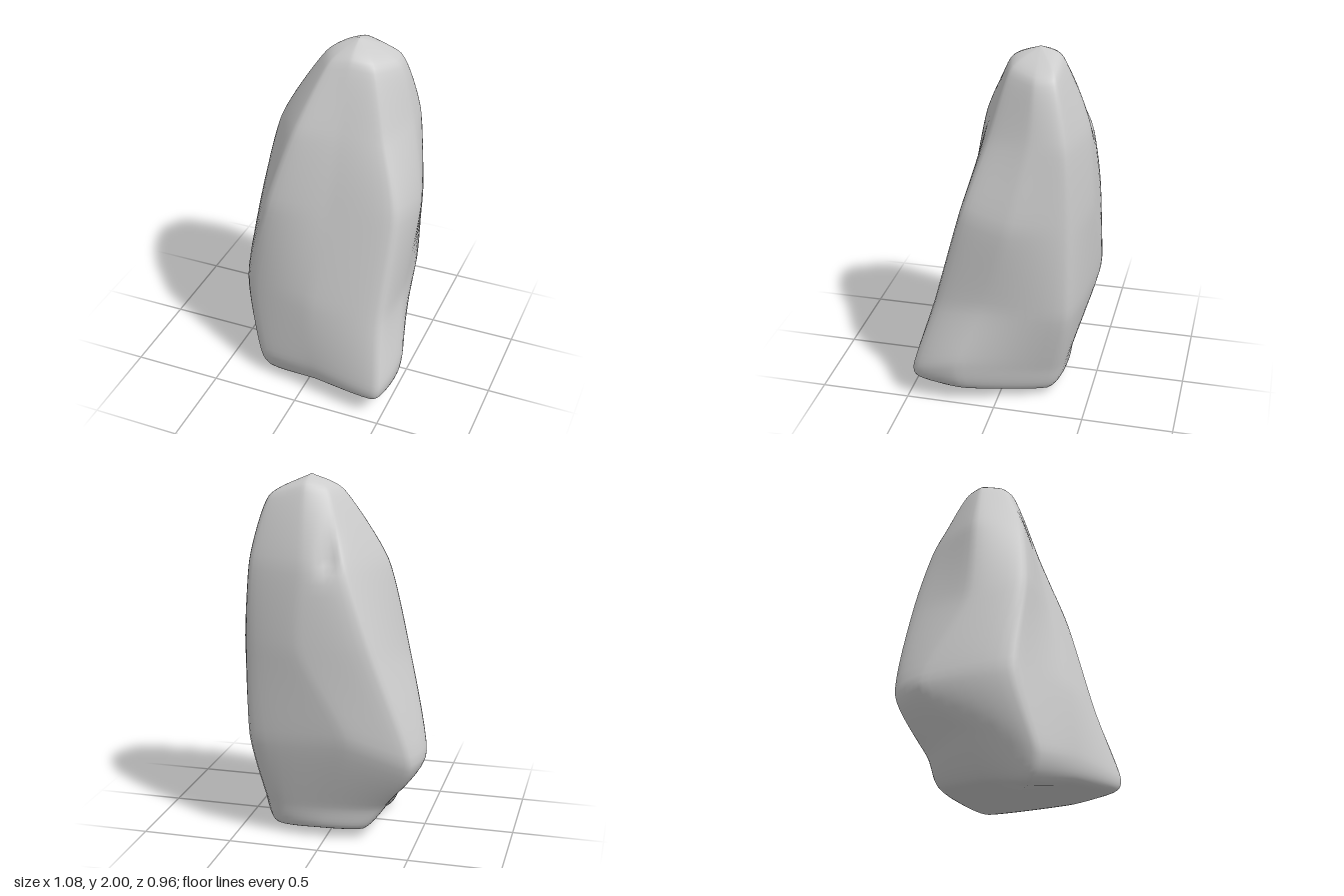
import * as THREE from 'three';
import { mergeVertices } from 'three/addons/utils/BufferGeometryUtils.js';

// Ridge lines running from foot to crown, in order around the boulder.
const RIDGES = [
  // front corner, left
  [[0.42, 0.1, 0.41], [0.475, 0.2, 0.465], [0.44, 0.6, 0.34], [0.455, 1.17, 0.18], [0.34, 1.55, 0.06], [0.24, 1.9, -0.04]],
  // left flank
  [[0.46, 0.08, 0.17], [0.535, 0.27, 0.2], [0.485, 0.62, 0.06], [0.515, 1.12, -0.08], [0.425, 1.57, -0.17], [0.33, 1.88, -0.18]],
  // rear corner, left
  [[0.29, 0.035, -0.25], [0.33, 0.2, -0.32], [0.4, 0.58, -0.39], [0.41, 1.1, -0.385], [0.395, 1.55, -0.36], [0.305, 1.89, -0.285]],
  // middle of the back
  [[0.05, 0.05, -0.31], [0.0, 0.2, -0.36], [-0.14, 0.62, -0.48], [0.1, 1.1, -0.475], [0.1, 1.55, -0.435], [0.12, 1.94, -0.295]],
  // rear corner, right
  [[-0.19, 0.05, -0.27], [-0.31, 0.2, -0.3], [-0.48, 0.5, -0.405], [-0.28, 1.1, -0.43], [-0.12, 1.55, -0.39], [0.0, 1.92, -0.25]],
  // bulging right flank
  [[-0.22, 0.05, 0.0], [-0.39, 0.27, -0.05], [-0.54, 0.52, -0.21], [-0.405, 1.02, -0.03], [-0.285, 1.53, -0.05], [-0.06, 1.91, -0.13]],
  // front corner, right
  [[-0.23, 0.0, 0.25], [-0.29, 0.15, 0.32], [-0.385, 0.58, 0.24], [-0.26, 1.12, 0.25], [-0.13, 1.55, 0.165], [0.0, 1.9, -0.01]],
  // middle of the front
  [[0.08, 0.07, 0.35], [0.05, 0.2, 0.4], [0.03, 0.6, 0.355], [0.09, 1.12, 0.225], [0.11, 1.55, 0.12], [0.12, 1.92, -0.01]],
];
const FLOOR = [0.06, 0.07, 0.05];
const CROWN = [0.11, 2.0, -0.17];
const ROWS = 56, AROUND = 64;

function spline(points, closed, tension) {
  return new THREE.CatmullRomCurve3(points, closed, 'catmullrom', tension);
}

// Small pit high on the back, with a shallow groove above it
function dent(p) {
  if (p.z > -0.2) return;
  const dx = (p.x + 0.04) / 0.05;
  const dy = (p.y - 1.56) / (p.y > 1.56 ? 0.16 : 0.05);
  p.z += 0.03 * Math.exp(-dx * dx - dy * dy);
}

function boulderGeometry() {
  const lines = RIDGES.map((ridge) => spline(
    [FLOOR, ...ridge, CROWN].map((p) => new THREE.Vector3(...p)), false, 0.34));
  const positions = [], index = [];
  // Closed rings through all ridges, level by level
  for (let i = 0; i < ROWS; i++) {
    const ring = spline(lines.map((line) => line.getPoint(i / ROWS)), true, 0.27);
    for (let j = 0; j < AROUND; j++) {
      const p = ring.getPoint(j / AROUND);
      dent(p);
      positions.push(p.x, Math.max(p.y, 0), p.z);
    }
  }
  positions.push(...CROWN);
  const crown = ROWS * AROUND;
  for (let i = 0; i < ROWS; i++) {
    for (let j = 0; j < AROUND; j++) {
      const a = i * AROUND + j, b = i * AROUND + (j + 1) % AROUND;
      if (i === ROWS - 1) {
        index.push(a, b, crown);
        continue;
      }
      // The first ring is a single point under the rock
      if (i > 0) index.push(a, b, b + AROUND);
      index.push(a, b + AROUND, a + AROUND);
    }
  }
  const geometry = new THREE.BufferGeometry();
  geometry.setAttribute('position', new THREE.Float32BufferAttribute(positions, 3));
  geometry.setIndex(index);
  const merged = mergeVertices(geometry, 1e-5);
  merged.computeVertexNormals();
  return merged;
}

export function createModel() {
  const group = new THREE.Group();
  group.name = 'standingRock';
  const rock = new THREE.Mesh(boulderGeometry(), new THREE.MeshStandardMaterial({ color: 0xcccccc }));
  rock.name = 'boulder';
  group.add(rock);
  return group;
}
